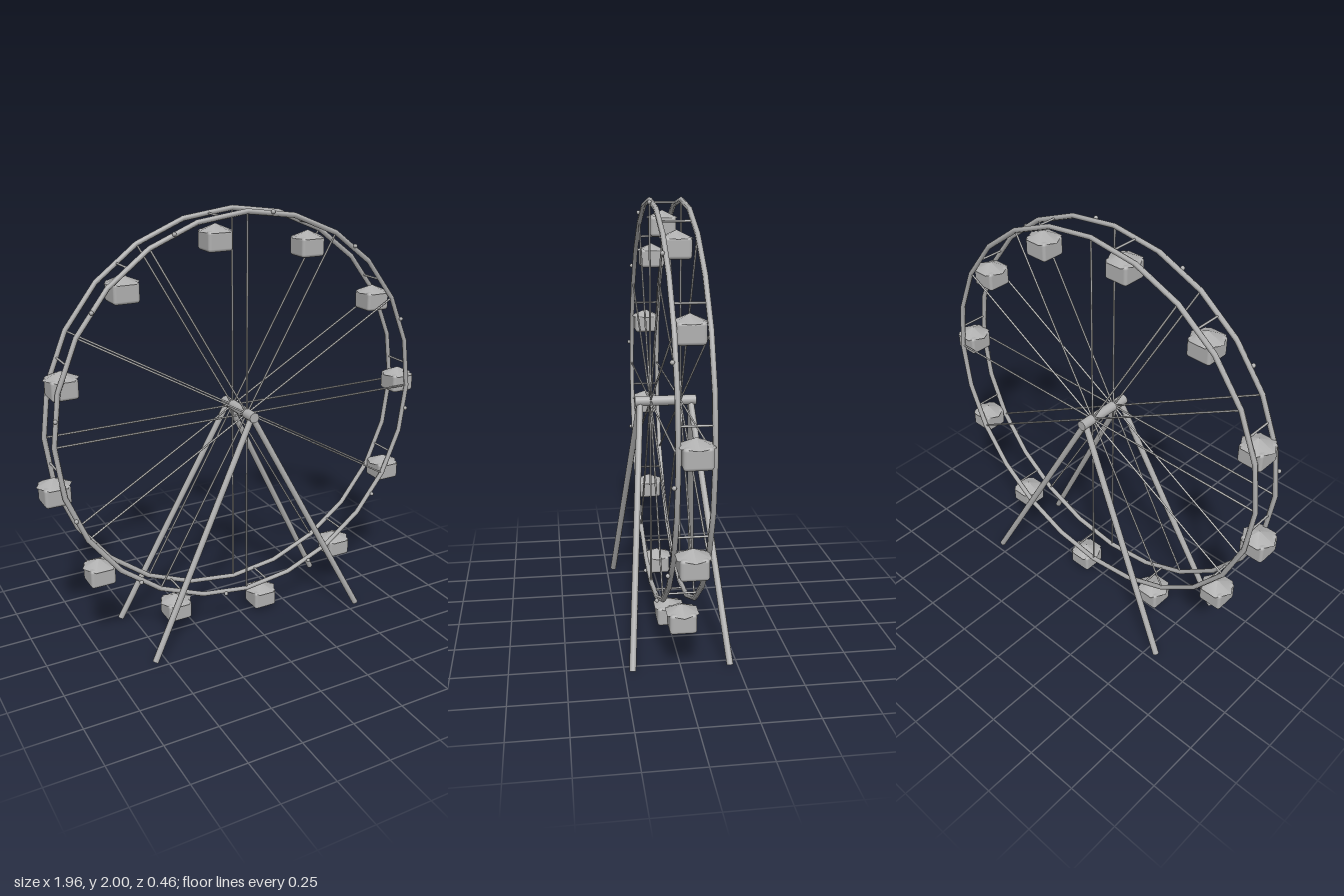
import * as THREE from 'three';
import { RoundedBoxGeometry } from 'three/addons/geometries/RoundedBoxGeometry.js';

const HUB_Y = 1.078, RIM_R = 0.91, RIM_Z = 0.07;
const steel = new THREE.MeshStandardMaterial({ color: 0xb0b0b0 });
steel.name = 'grey steel';

function part(name, geometry, parent) {
  const mesh = new THREE.Mesh(geometry, steel);
  mesh.name = name;
  parent.add(mesh);
  return mesh;
}

// Round bar between two points
function bar(name, a, b, radius, sides, parent) {
  const dir = b.clone().sub(a);
  const mesh = part(name, new THREE.CylinderGeometry(radius, radius, dir.length(), sides), parent);
  mesh.position.copy(a).add(b).multiplyScalar(0.5);
  mesh.quaternion.setFromUnitVectors(new THREE.Vector3(0, 1, 0), dir.normalize());
  return mesh;
}

// Point on the wheel, angle in degrees from +x
function onWheel(degrees, radius, z) {
  const a = THREE.MathUtils.degToRad(degrees);
  return new THREE.Vector3(Math.cos(a) * radius, HUB_Y + Math.sin(a) * radius, z);
}

export function createModel() {
  const model = new THREE.Group();
  model.name = 'ferrisWheel';

  // Axle and the four splayed legs
  bar('axle', new THREE.Vector3(0, HUB_Y, -0.143), new THREE.Vector3(0, HUB_Y, 0.143), 0.024, 12, model);
  for (const sx of [-1, 1]) {
    for (const sz of [-1, 1]) {
      bar('leg', new THREE.Vector3(sx * 0.553, 0.008, sz * 0.215),
        new THREE.Vector3(0, HUB_Y, sz * 0.118), 0.015, 8, model);
    }
  }

  // Two rims, each with twelve spokes
  const wheel = new THREE.Group();
  wheel.name = 'wheel';
  model.add(wheel);
  for (const z of [-RIM_Z, RIM_Z]) {
    part('rim', new THREE.TorusGeometry(RIM_R, 0.012, 6, 24), wheel).position.set(0, HUB_Y, z);
    for (let i = 0; i < 12; i++) {
      bar('spoke', new THREE.Vector3(0, HUB_Y, z), onWheel(i * 30, RIM_R, z), 0.0045, 6, wheel);
    }
  }

  // Cabins hanging from crossbars, with lamps on the front rim between them
  const bodyGeometry = new RoundedBoxGeometry(0.118, 0.09, 0.118, 2, 0.014);
  const roofGeometry = new THREE.ConeGeometry(0.08, 0.034, 6);
  const lampGeometry = new THREE.SphereGeometry(0.01, 8, 6);
  for (let i = 0; i < 12; i++) {
    const angle = 7.5 + i * 30;
    bar('crossbar', onWheel(angle, 0.902, -RIM_Z), onWheel(angle, 0.902, RIM_Z), 0.005, 6, wheel);
    part('lamp', lampGeometry, wheel).position.copy(onWheel(angle + 15, RIM_R, 0.084));

    const cabin = new THREE.Group();
    cabin.name = 'cabin';
    cabin.position.copy(onWheel(angle, RIM_R, 0));
    part('cabinBody', bodyGeometry, cabin).position.y = -0.113;
    const roof = part('cabinRoof', roofGeometry, cabin);
    roof.position.y = -0.058;
    roof.rotation.y = Math.PI / 6;
    model.add(cabin);
  }
  return model;
}
